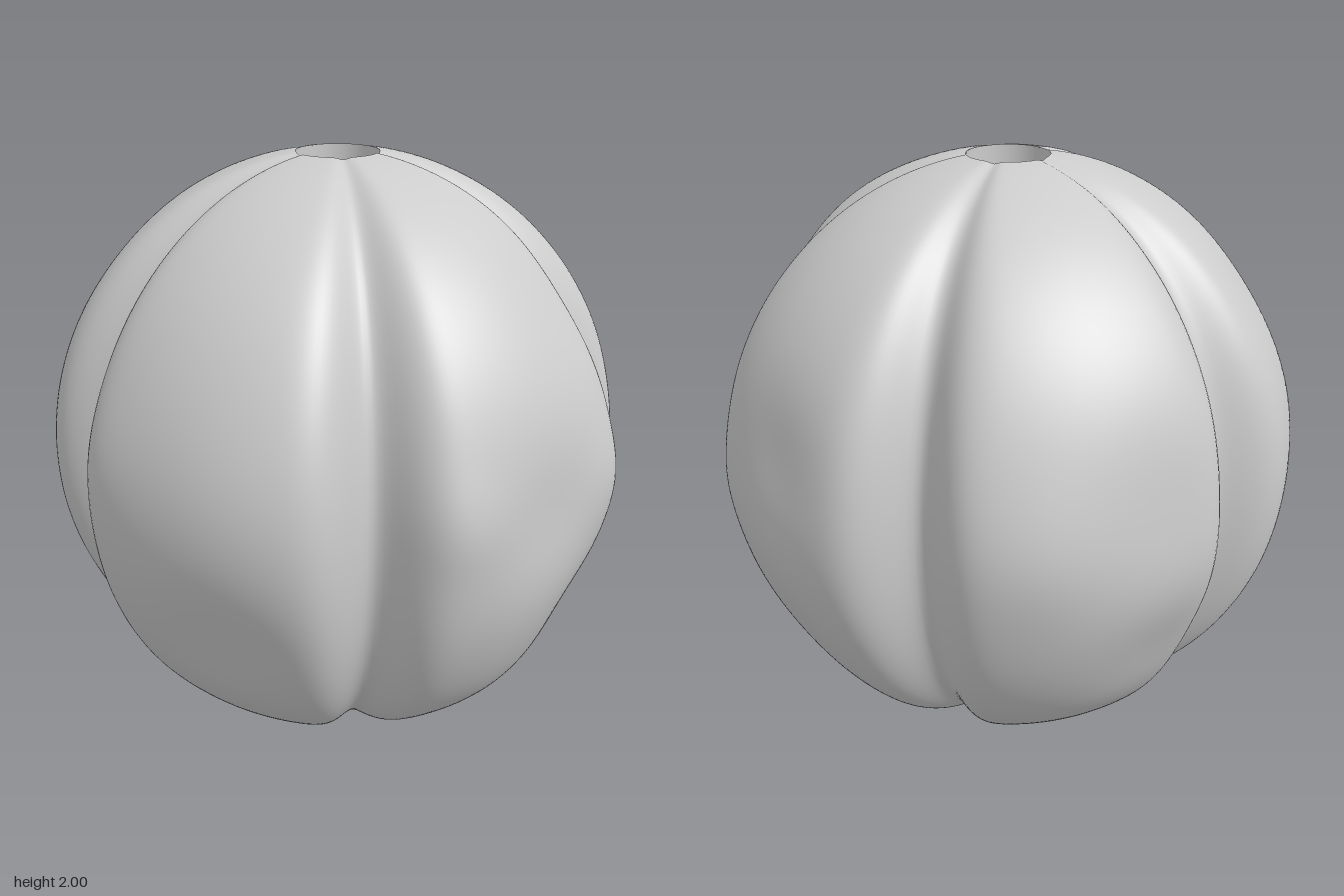
import * as THREE from 'three';
import { mergeVertices } from 'three/addons/utils/BufferGeometryUtils.js';

const RAD = Math.PI / 180;
const HOLE = 0.136;
const AXIS_Z = 0.015;

// Soft hollows (negative) and swells (positive): azimuth from +x to +z, elevation, spread, height
const UNDULATIONS = [
  [36, 2, 13, -0.03], [16, -25, 13, -0.03], [14, 38, 14, -0.02], [40, -42, 15, 0.015],
  [16, 3, 10, 0.02], [58, 5, 9, 0.02],
  [103, -23, 14, -0.035], [97, 8, 16, 0.015], [128, 10, 12, 0.01],
  [180, -9, 10, -0.025], [172, -32, 14, -0.025], [185, 38, 14, -0.015], [176, 6, 9, 0.01],
  [-124, -24, 14, -0.035], [-122, 8, 14, -0.025], [-96, 2, 12, 0.02],
  [-42, 12, 13, -0.03], [-15, -2, 10, 0.01], [-40, -28, 14, -0.015],
].map(([az, el, spread, height]) => ({
  dir: new THREE.Vector3(
    Math.cos(el * RAD) * Math.cos(az * RAD),
    Math.sin(el * RAD),
    Math.cos(el * RAD) * Math.sin(az * RAD)),
  spread: spread * RAD,
  height,
}));

// Distance of the surface from the centre along a unit direction
function surfaceRadius(dir) {
  const ring = Math.hypot(dir.x, dir.z);
  const az = Math.atan2(dir.z, dir.x) / RAD;
  const offset = az - 72 * Math.round(az / 72);
  const groove = Math.exp(-((offset / 7.6) ** 2));
  let r = 1.009 - 0.036 * ring * ring - 0.165 * groove * ring ** 1.6;
  for (const u of UNDULATIONS) {
    const angle = dir.angleTo(u.dir);
    r += u.height * (1 - groove) * Math.exp(-((angle / u.spread) ** 2));
  }
  return r;
}

// Five-lobed body, open at both ends of the bore
function bodyGeometry() {
  const start = Math.asin(HOLE / 1.009);
  let geo = new THREE.SphereGeometry(1, 300, 110, 0, Math.PI * 2, start, Math.PI - 2 * start);
  geo.deleteAttribute('uv');
  geo.deleteAttribute('normal');
  geo = mergeVertices(geo, 1e-5);
  const pos = geo.attributes.position;
  const v = new THREE.Vector3();
  for (let i = 0; i < pos.count; i++) {
    v.fromBufferAttribute(pos, i).normalize();
    v.multiplyScalar(surfaceRadius(v));
    pos.setXYZ(i, v.x, v.y, v.z);
  }
  geo.computeVertexNormals();
  return geo;
}

export function createModel() {
  const group = new THREE.Group();
  group.name = 'lobedBead';
  const grey = new THREE.MeshStandardMaterial({ color: 0xcccccc });
  grey.name = 'grey';
  const inner = grey.clone();
  inner.side = THREE.BackSide;

  const body = new THREE.Mesh(bodyGeometry(), grey);
  body.name = 'lobedBody';

  // Straight bore through the middle
  const bore = new THREE.Mesh(new THREE.CylinderGeometry(HOLE, HOLE, 1.998, 64, 1, true), inner);
  bore.name = 'boreWall';

  for (const mesh of [body, bore]) {
    mesh.position.set(0, 1, AXIS_Z);
    group.add(mesh);
  }
  return group;
}
